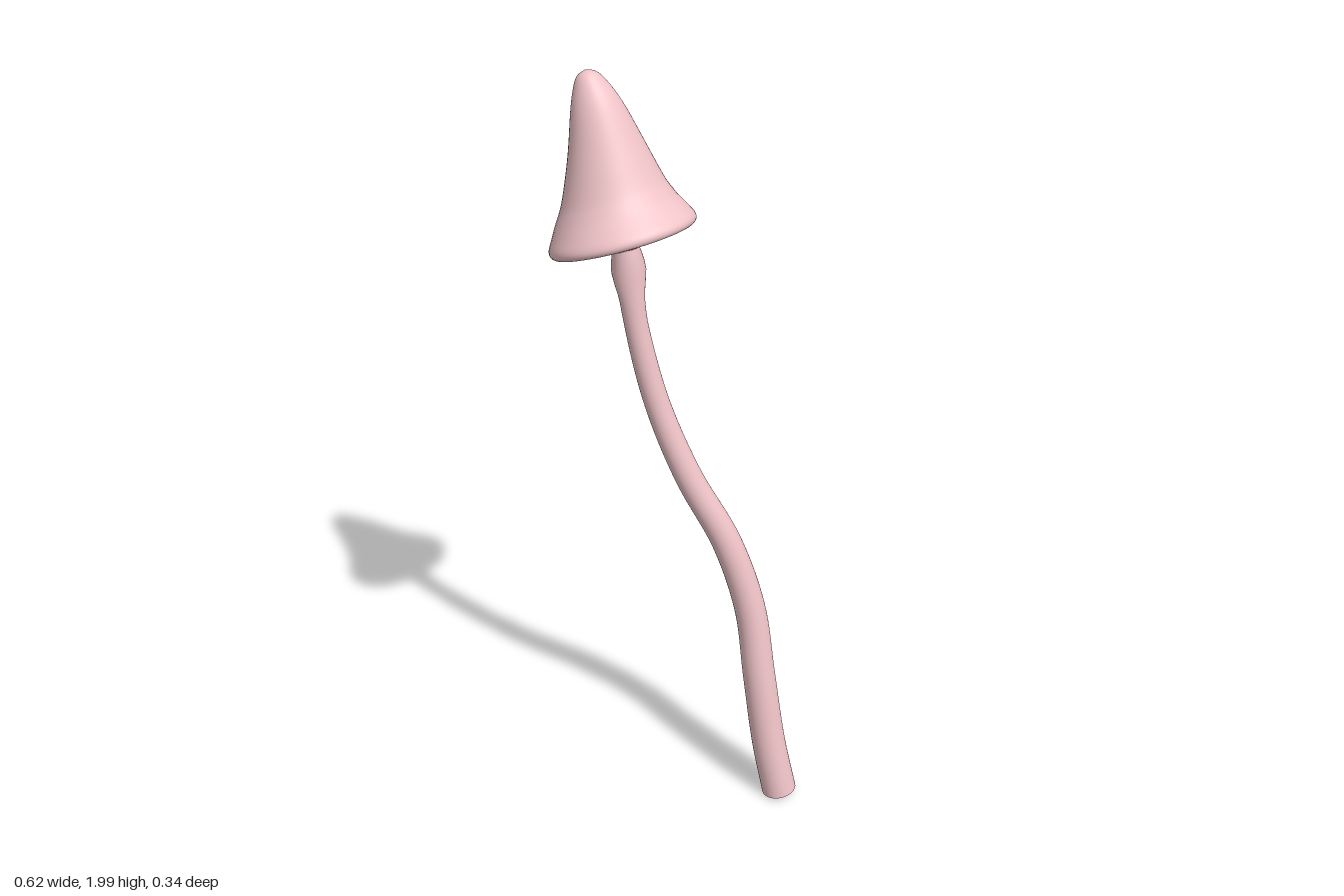
import * as THREE from 'three';
import { mergeGeometries, mergeVertices } from 'three/addons/utils/BufferGeometryUtils.js';

const PINK = 0xf0c4c8;
const material = new THREE.MeshStandardMaterial({ color: PINK });
const thinMaterial = new THREE.MeshStandardMaterial({ color: PINK, side: THREE.DoubleSide });

const v2 = (list) => list.map(([x, y]) => new THREE.Vector2(x, y));

// Piecewise linear lookup in [position, value] pairs
function lookup(table, t) {
  for (let i = 1; i < table.length; i++) {
    const [a, va] = table[i - 1], [b, vb] = table[i];
    if (t <= b) return va + (vb - va) * Math.max(0, (t - a) / (b - a));
  }
  return table[table.length - 1][1];
}

function named(name, geometry, mat = material) {
  const mesh = new THREE.Mesh(geometry, mat);
  mesh.name = name;
  return mesh;
}

// Curving stem whose radius changes with height
function makeStem() {
  const path = new THREE.CatmullRomCurve3([
    [0.262, 0.016, -0.042], [0.228, 0.18, -0.042], [0.194, 0.4, -0.048],
    [0.162, 0.6, -0.06], [0.1, 0.8, -0.05], [0.004, 1.0, -0.024],
    [-0.07, 1.2, -0.01], [-0.115, 1.4, 0], [-0.127, 1.5, 0.004],
    [-0.135, 1.58, 0.004], [-0.16, 1.7, -0.005],
  ].map((p) => new THREE.Vector3(...p)));
  const radii = [
    [0, 0.047], [0.4, 0.043], [0.8, 0.038], [1.2, 0.031], [1.42, 0.028], [1.48, 0.03],
    [1.52, 0.037], [1.55, 0.041], [1.58, 0.037], [1.61, 0.03], [1.7, 0.026],
  ];
  const rings = 90, sides = 32;
  const geometry = new THREE.TubeGeometry(path, rings, 1, sides);
  const pos = geometry.attributes.position, v = new THREE.Vector3();
  for (let i = 0; i <= rings; i++) {
    const centre = path.getPointAt(i / rings);
    const radius = lookup(radii, centre.y);
    for (let j = 0; j <= sides; j++) {
      const k = i * (sides + 1) + j;
      v.fromBufferAttribute(pos, k).sub(centre).multiplyScalar(radius).add(centre);
      pos.setXYZ(k, v.x, v.y, v.z);
    }
  }
  const base = named('stemBase', new THREE.CircleGeometry(0.047, sides));
  base.position.copy(path.getPointAt(0));
  base.quaternion.setFromUnitVectors(new THREE.Vector3(0, 0, 1), path.getTangentAt(0).negate());

  const stem = new THREE.Group();
  stem.name = 'stem';
  stem.add(named('stemShaft', geometry), base);
  return stem;
}

// Bell cap: hollow inside, rolled lip, outer wall leaning towards an off-centre tip
function makeCap() {
  const inside = v2([[0, 0.2], [0.05, 0.16], [0.095, 0.095], [0.125, 0.05], [0.142, 0.02]]);
  const outside = new THREE.SplineCurve(v2([
    [0.142, 0.02], [0.15, -0.003], [0.163, -0.011], [0.173, -0.003], [0.172, 0.012],
    [0.157, 0.038], [0.137, 0.073], [0.119, 0.11], [0.088, 0.2], [0.06, 0.29],
    [0.04, 0.339], [0.022, 0.367], [0, 0.376],
  ])).getPoints(60);
  outside[outside.length - 1].x = 0;
  let geometry = new THREE.LatheGeometry([...inside.slice(0, -1), ...outside], 48);
  const pos = geometry.attributes.position;
  for (let i = 0; i < pos.count; i++) {
    const lean = THREE.MathUtils.clamp((pos.getY(i) - 0.06) / 0.31, 0, 1);
    pos.setX(i, pos.getX(i) + 0.033 * Math.sin(lean * Math.PI / 2));
    pos.setZ(i, pos.getZ(i) + 0.04 * lean);
  }
  geometry.deleteAttribute('uv');
  geometry.deleteAttribute('normal');
  geometry = mergeVertices(geometry, 1e-5);
  geometry.computeVertexNormals();
  return named('cap', geometry, thinMaterial);
}

// Ring of thin radial blades between the stem and the cap wall
function makeGills(count) {
  const blade = new THREE.ShapeGeometry(new THREE.Shape(v2([
    [0.02, -0.035], [0.034, -0.033], [0.05, -0.016], [0.08, 0.001], [0.115, 0.012],
    [0.14, 0.022], [0.124, 0.053], [0.094, 0.098], [0.05, 0.15], [0.02, 0.15],
  ])));
  const blades = [];
  for (let i = 0; i < count; i++) {
    blades.push(blade.clone().rotateY((i / count) * Math.PI * 2));
  }
  return named('gills', mergeGeometries(blades), thinMaterial);
}

export function createModel() {
  const model = new THREE.Group();
  model.name = 'mushroom';

  // Head tilts away from the stem
  const head = new THREE.Group();
  head.name = 'head';
  head.add(makeCap(), makeGills(56));
  head.position.set(-0.145, 1.63, 0);
  head.quaternion.setFromUnitVectors(
    new THREE.Vector3(0, 1, 0), new THREE.Vector3(-0.3, 0.943, -0.14).normalize());

  model.add(makeStem(), head);
  return model;
}
